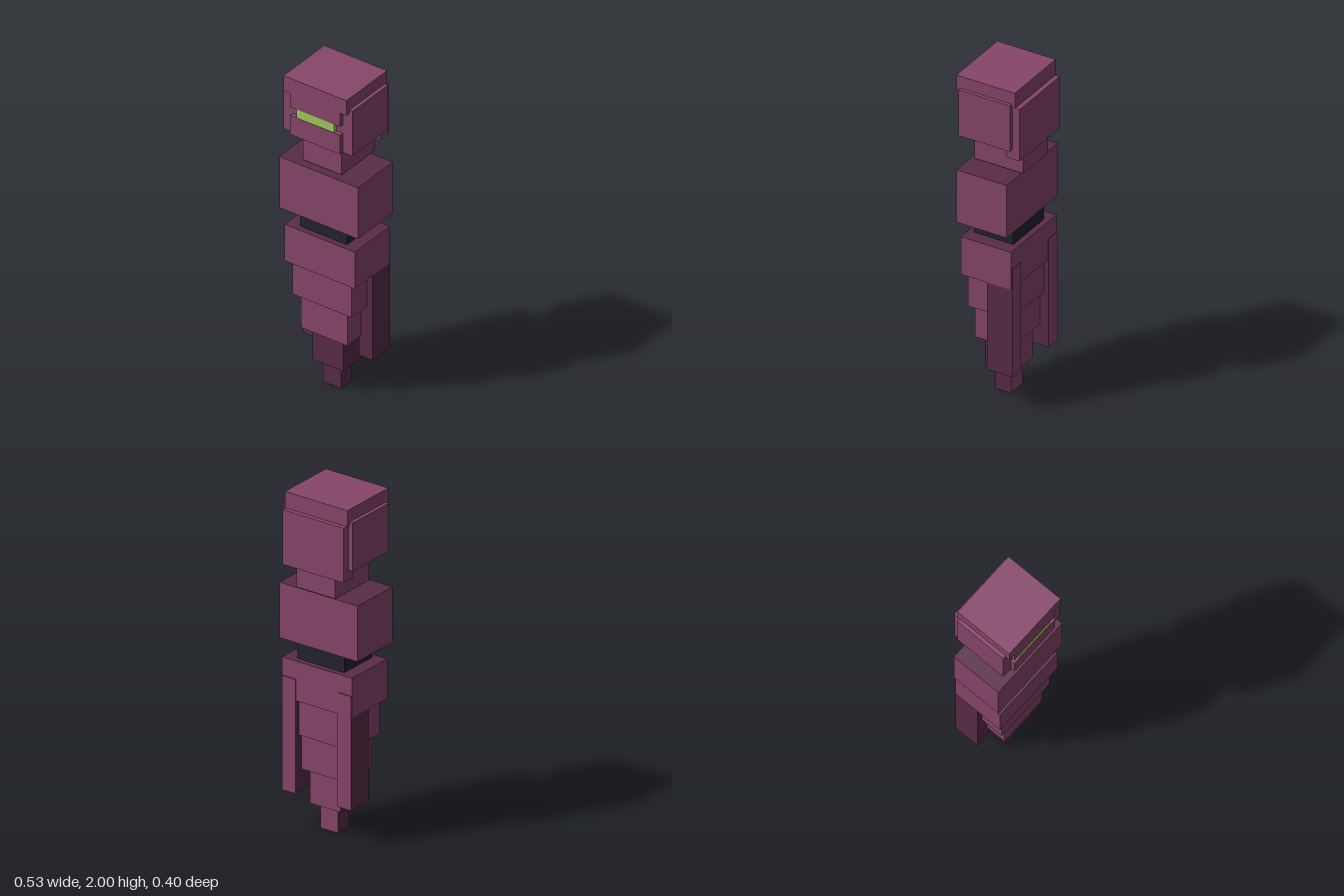
import * as THREE from 'three';

const material = (name, color) => {
  const m = new THREE.MeshStandardMaterial({ color });
  m.name = name;
  return m;
};

export function createModel() {
  const mauve = material('mauve armour', 0x87466a);
  const plum = material('dark plum', 0x5a2c45);
  const black = material('waist black', 0x23232d);
  const lime = material('visor lime', 0xa0cc5b);

  // Face order: +x, -x, +y, -y, +z, -z
  const plated = [mauve, mauve, plum, plum, mauve, mauve];
  const shaded = [plum, plum, plum, plum, plum, mauve];

  const model = new THREE.Group();
  model.name = 'segmentedFigure';

  // Box given by its extents on each axis
  const block = (name, [x0, x1], [y0, y1], [z0, z1], mat, parent = model) => {
    const mesh = new THREE.Mesh(new THREE.BoxGeometry(x1 - x0, y1 - y0, z1 - z0), mat);
    mesh.position.set((x0 + x1) / 2, (y0 + y1) / 2, (z0 + z1) / 2);
    mesh.name = name;
    parent.add(mesh);
  };
  const wide = (w) => [-w, w];

  // Head: core, crown, face plates around the recessed visor slot
  const head = new THREE.Group();
  head.name = 'head';
  model.add(head);
  block('headCore', wide(0.168), [1.637, 1.9], [-0.15, 0.172], mauve, head);
  block('crown', wide(0.211), [1.903, 2], [-0.173, 0.198], mauve, head);
  block('brow', wide(0.168), [1.815, 1.903], [0.17, 0.198], mauve, head);
  block('jaw', wide(0.168), [1.637, 1.76], [0.17, 0.198], mauve, head);
  block('visor', wide(0.125), [1.76, 1.815], [0.17, 0.196], lime, head);
  block('backPanel', wide(0.206), [1.578, 1.903], [-0.2, -0.117], mauve, head);
  for (const s of [-1, 1]) {
    const xs = [s * 0.165, s * 0.232].sort((a, b) => a - b);
    block('sidePlate', xs, [1.637, 1.925], [-0.154, 0.172], mauve, head);
  }

  // Neck, torso and waist
  block('neck', wide(0.13), [1.455, 1.637], [-0.175, 0.132], mauve);
  block('chest', wide(0.264), [1.11, 1.44], [-0.153, 0.165], plated);
  block('waist', wide(0.158), [1.008, 1.112], [-0.13, 0.12], black);

  // Tapering lower body
  block('hips', wide(0.236), [0.772, 1.008], [-0.165, 0.155], plated);
  block('upperTail', wide(0.198), [0.56, 0.772], [-0.14, 0.133], plated);
  block('middleTail', wide(0.155), [0.35, 0.56], [-0.115, 0.114], plated);
  block('lowerTail', wide(0.104), [0.148, 0.35], [-0.09, 0.08], shaded);
  block('tailTip', wide(0.06), [0, 0.148], [-0.054, 0.042], shaded);

  // Long rear fins hanging from the hips
  for (const s of [-1, 1]) {
    const xs = [s * 0.142, s * 0.232].sort((a, b) => a - b);
    block('rearFin', xs, [0.222, 0.9], [-0.17, -0.01], shaded);
  }

  return model;
}
